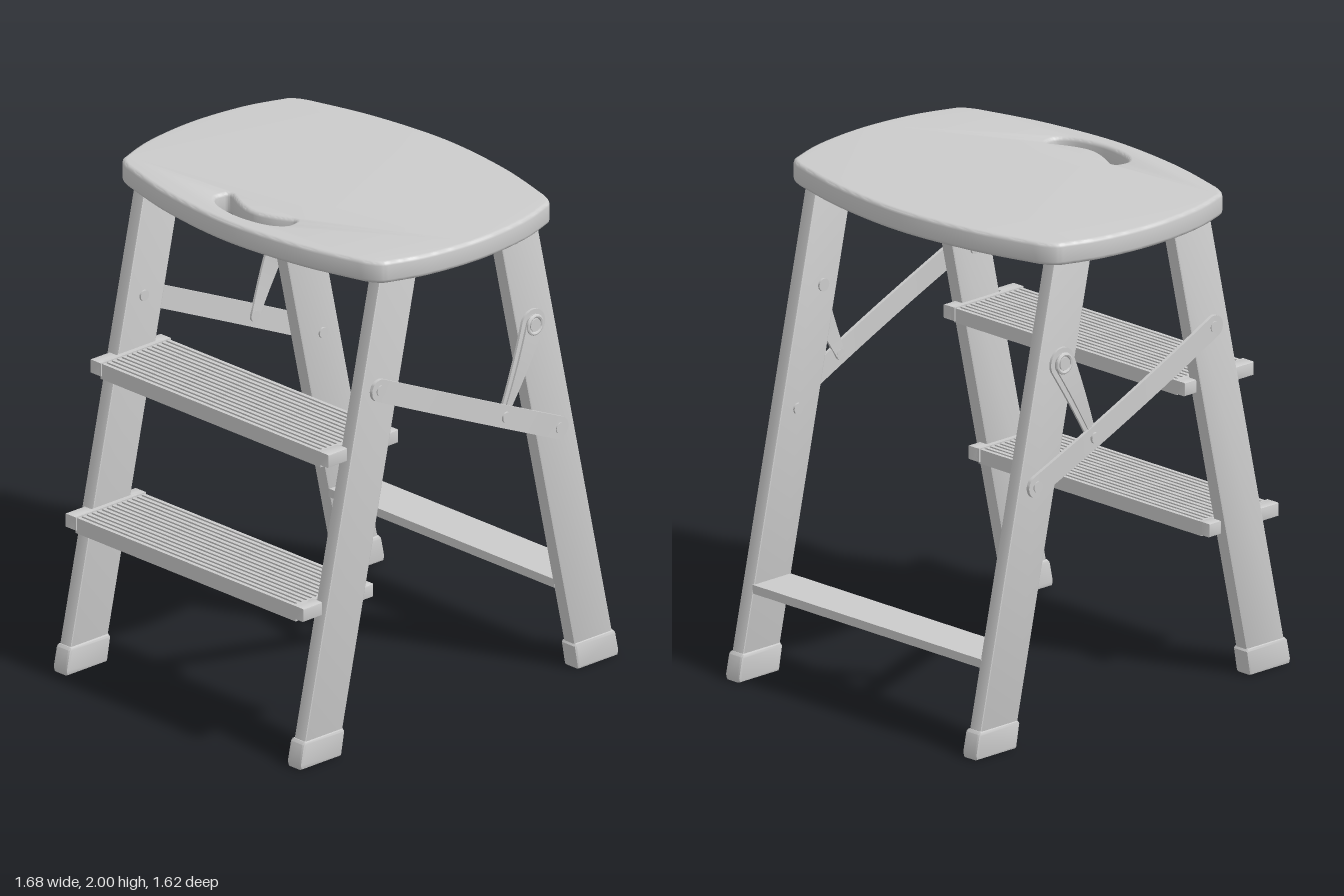
import * as THREE from 'three';
import { toCreasedNormals } from 'three/addons/utils/BufferGeometryUtils.js';

const material = new THREE.MeshStandardMaterial({ color: 0xcccccc });
const V = (x, y) => new THREE.Vector2(x, y);

function add(parent, name, geometry, x = 0, y = 0, z = 0) {
  const mesh = new THREE.Mesh(toCreasedNormals(geometry, 0.6), material);
  mesh.name = name;
  mesh.position.set(x, y, z);
  parent.add(mesh);
  return mesh;
}

const box = (w, h, d) => new THREE.BoxGeometry(w, h, d);

// Outline in x/y extruded along z, centred on z = 0, with a small bevel kept inside the outline
function slab(points, depth, bevel) {
  const g = new THREE.ExtrudeGeometry(new THREE.Shape(points), {
    depth: depth - 2 * bevel, bevelEnabled: bevel > 0, bevelSize: bevel,
    bevelThickness: bevel, bevelOffset: -bevel, bevelSegments: 2,
  });
  return g.translate(0, 0, -depth / 2 + bevel);
}

// Centre line of the legs: distance from x = 0 at height y
const legX = (y) => 0.315 + (1.91 - y) * 0.2194;

// Curved seat with a crescent hand hole
function seatGeometry() {
  const s = new THREE.Shape();
  s.moveTo(0.483, -0.65);
  s.splineThru([V(0.555, -0.36), V(0.59, 0), V(0.555, 0.36), V(0.483, 0.65)]);
  s.quadraticCurveTo(0.462, 0.71, 0.43, 0.728);
  s.splineThru([V(0.25, 0.785), V(0, 0.81), V(-0.25, 0.785), V(-0.43, 0.728)]);
  s.quadraticCurveTo(-0.462, 0.71, -0.483, 0.65);
  s.splineThru([V(-0.555, 0.36), V(-0.59, 0), V(-0.555, -0.36), V(-0.483, -0.65)]);
  s.quadraticCurveTo(-0.462, -0.71, -0.43, -0.728);
  s.splineThru([V(-0.25, -0.785), V(0, -0.81), V(0.25, -0.785), V(0.43, -0.728)]);
  s.quadraticCurveTo(0.462, -0.71, 0.483, -0.65);
  const hole = new THREE.Path();
  hole.moveTo(-0.40, -0.195);
  hole.splineThru([V(-0.45, -0.195), V(-0.495, -0.13), V(-0.515, 0),
    V(-0.495, 0.13), V(-0.45, 0.195), V(-0.40, 0.195)]);
  hole.quadraticCurveTo(-0.38, 0.185, -0.39, 0.165);
  hole.splineThru([V(-0.43, 0.08), V(-0.447, 0), V(-0.43, -0.08), V(-0.39, -0.165)]);
  hole.quadraticCurveTo(-0.38, -0.185, -0.40, -0.195);
  s.holes.push(hole);
  const b = 0.016;
  return new THREE.ExtrudeGeometry(s, {
    depth: 0.09 - 2 * b, bevelSize: b, bevelThickness: b, bevelOffset: -b,
    bevelSegments: 3, curveSegments: 8,
  }).rotateX(Math.PI / 2).translate(0, 2 - b, 0);
}

// Round-ended flat link between two pivots, radii ra and rb, bowed outward along z
function link(parent, name, a, b, ra, rb, thick, z, bow) {
  const length = a.distanceTo(b), stations = [];
  for (let i = 0; i <= 8; i++) {
    const t = (i / 8) * Math.PI / 2;
    stations.push([-ra * Math.cos(t), ra * Math.sin(t)]);
  }
  for (let i = 1; i < 12; i++) stations.push([length * i / 12, ra + (rb - ra) * i / 12]);
  for (let i = 0; i <= 8; i++) {
    const t = (i / 8) * Math.PI / 2;
    stations.push([length + rb * Math.sin(t), rb * Math.cos(t)]);
  }
  const n = stations.length - 1;
  const g = new THREE.BoxGeometry(n, 2, thick, n, 1, 1);
  const p = g.attributes.position;
  for (let i = 0; i < p.count; i++) {
    const [x, half] = stations[Math.round(p.getX(i) + n / 2)];
    const u = THREE.MathUtils.clamp(x / length, 0, 1);
    p.setXYZ(i, x, p.getY(i) * Math.max(half, 0.0005), p.getZ(i) + bow * 4 * u * (1 - u));
  }
  add(parent, name, g, a.x, a.y, z).rotation.z = Math.atan2(b.y - a.y, b.x - a.x);
}

function rivet(parent, p, r, z0, z1) {
  const g = new THREE.CylinderGeometry(r, r, Math.abs(z1 - z0), 20).rotateX(Math.PI / 2);
  add(parent, 'rivet', g, p.x, p.y, (z0 + z1) / 2);
}

// Ribbed tread, open underneath, with end caps notched around the legs
function buildStep(top) {
  const step = new THREE.Group();
  step.name = 'step';
  const c = -legX(top - 0.03) - 0.018, half = 0.178, ribs = 14;
  const profile = [V(c - half, top - 0.068), V(c - half + 0.02, top - 0.068),
    V(c - half + 0.02, top - 0.022), V(c + half - 0.02, top - 0.022),
    V(c + half - 0.02, top - 0.062), V(c + half, top - 0.062)];
  const pitch = (2 * half) / (ribs - 0.4);
  for (let i = 0; i < ribs; i++) {
    const x = c + half - i * pitch;
    profile.push(V(x, top - 0.004), V(x - pitch * 0.6, top - 0.004));
    if (i < ribs - 1) profile.push(V(x - pitch * 0.6, top - 0.011), V(x - pitch, top - 0.011));
  }
  add(step, 'tread', slab(profile, 1.22, 0));
  const x0 = c - 0.185, x1 = c + 0.185, y = top - 0.027;
  for (const side of [-1, 1]) {
    add(step, 'treadEndCap', box(x1 - x0, 0.054, 0.02), (x0 + x1) / 2, y, side * 0.61);
    const leg = legX(y);
    for (const [a, b] of [[x0, -leg - 0.103], [-leg + 0.103, x1]]) {
      const g = slab([V(a, y - 0.027), V(b, y - 0.027), V(b, y + 0.027), V(a, y + 0.027)], 0.06, 0.006);
      add(step, 'treadClip', g, 0, 0, side * 0.632);
    }
  }
  return step;
}

export function createModel() {
  const model = new THREE.Group();
  model.name = 'stepStool';
  add(model, 'seat', seatGeometry());

  // Four splayed legs with rubber feet
  for (const sx of [-1, 1]) {
    for (const sz of [-1, 1]) {
      const top = sx * legX(1.93), low = sx * legX(0.05);
      const leg = [V(low - 0.1, 0.05), V(low + 0.1, 0.05), V(top + 0.1, 1.93), V(top - 0.1, 1.93)];
      add(model, 'leg', slab(leg, 0.06, 0.006), 0, 0, sz * 0.65);
      const foot = [V(sx * 0.835, 0), V(sx * 0.84, 0.02), V(sx * 0.823, 0.1), V(sx * 0.813, 0.11),
        V(sx * 0.612, 0.11), V(sx * 0.605, 0.1), V(sx * 0.622, 0.005), V(sx * 0.628, 0)];
      add(model, 'foot', slab(foot, 0.078, 0.01), 0, 0, sz * 0.649);
    }
  }

  model.add(buildStep(1.25), buildStep(0.65));

  // Flat brace between the rear legs
  add(model, 'rearBrace', box(0.2, 0.035, 1.25), legX(0.36), 0.358, 0);

  // Folding links on both sides
  const a = V(-0.425, 1.457), b = V(0.52, 1.033), m = V(0.225, 1.165), h = V(0.383, 1.5);
  for (const s of [-1, 1]) {
    const links = new THREE.Group();
    links.name = 'foldingLinks';
    model.add(links);
    link(links, 'longLink', a, b, 0.045, 0.045, 0.014, s * 0.688, s * 0.012);
    link(links, 'shortLink', h, m, 0.062, 0.022, 0.01, s * 0.687, s * 0.006);
    link(links, 'shortLinkRib', h, m.clone().lerp(h, 0.12), 0.042, 0.01, 0.012, s * 0.694, s * 0.006);
    add(links, 'pivotRing', new THREE.TorusGeometry(0.036, 0.008, 8, 28), h.x, h.y, s * 0.7);
    rivet(links, a, 0.022, s * 0.612, s * 0.7);
    rivet(links, b, 0.022, s * 0.612, s * 0.7);
    rivet(links, h, 0.026, s * 0.612, s * 0.706);
    rivet(links, m, 0.022, s * 0.682, s * 0.714);
  }
  return model;
}
